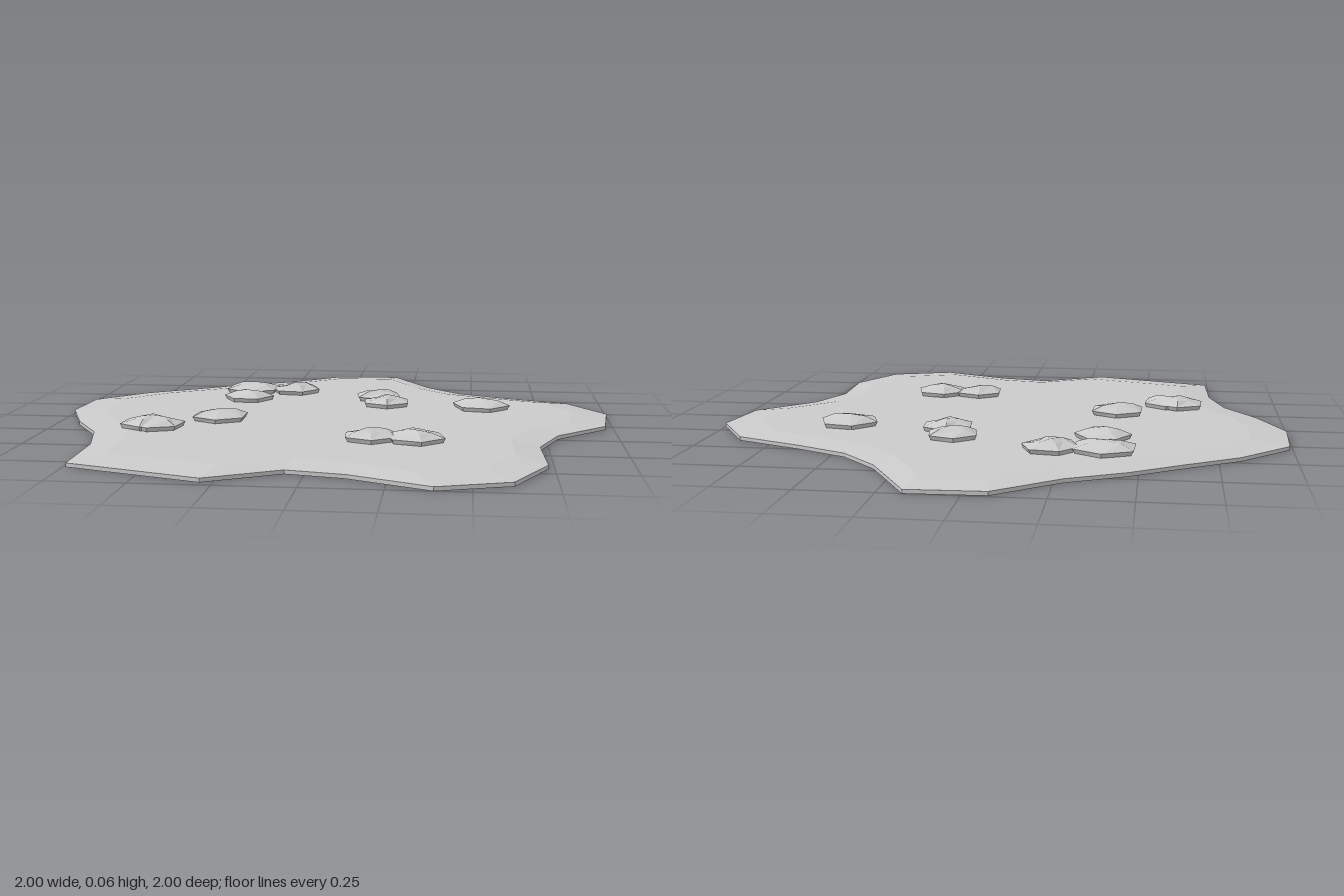
import * as THREE from 'three';

// Flat-shaded solid from stacked rings (bottom to top), closed by centre fans.
function loft(rings, bottomCentre, topCentre) {
  const pos = [];
  const tri = (a, b, c) => pos.push(...a, ...b, ...c);
  const n = rings[0].length;
  for (let i = 0; i < n; i++) {
    const j = (i + 1) % n;
    tri(bottomCentre, rings[0][i], rings[0][j]);
    for (let k = 0; k < rings.length - 1; k++) {
      const lo = rings[k], hi = rings[k + 1];
      tri(lo[i], hi[i], lo[j]);
      tri(lo[j], hi[i], hi[j]);
    }
    const top = rings[rings.length - 1];
    tri(topCentre, top[j], top[i]);
  }
  const geometry = new THREE.BufferGeometry();
  geometry.setAttribute('position', new THREE.Float32BufferAttribute(pos, 3));
  geometry.computeVertexNormals();
  return geometry;
}

// Ground outline as x, z pairs.
const OUTLINE = [
  [-0.08, -0.99], [0.17, -1], [0.32, -0.73], [0.45, -0.59], [0.63, -0.5], [0.87, -0.4],
  [1, -0.19], [0.97, 0.05], [0.79, 0.24], [0.72, 0.43], [0.73, 0.69], [0.62, 0.92],
  [0.39, 1], [0.13, 0.88], [-0.06, 0.84], [-0.29, 0.97], [-0.5, 0.9], [-0.74, 0.82],
  [-0.75, 0.54], [-0.8, 0.34], [-0.91, 0.16], [-1, -0.06], [-0.99, -0.3], [-0.82, -0.48],
  [-0.64, -0.6], [-0.47, -0.72], [-0.28, -0.82],
];

// Stones: x, z, radius, turn in degrees.
const STONES = [
  [-0.385, -0.495, 0.112, 33], [-0.21, -0.495, 0.1, 8], [-0.37, -0.305, 0.097, 0],
  [0.135, -0.36, 0.092, 20], [0.175, -0.23, 0.095, 25], [0.535, -0.2, 0.107, 12],
  [-0.4, 0.12, 0.103, 30], [-0.625, 0.275, 0.1, 33], [-0.59, 0.29, 0.1, 38],
  [0.165, 0.42, 0.095, 24], [0.315, 0.425, 0.103, 17],
];

function groundGeometry() {
  const ring = (scale, y) => OUTLINE.map(([x, z]) => [x * scale, y, z * scale]);
  return loft([ring(1, 0), ring(1, 0.013), ring(0.87, 0.025)], [0, 0, 0], [0, 0.025, 0]);
}

// Low six-sided stone: undercut base, wide rim, shallow uneven crown.
function stoneGeometry(radius, turn, seed) {
  const ring = (scale, y, uneven) => Array.from({ length: 6 }, (_, i) => {
    const a = THREE.MathUtils.degToRad(turn + i * 60);
    const wobble = Math.sin(seed * 2.3 + i * 2.1);
    const r = radius * scale * (1 + uneven * wobble);
    return [r * Math.cos(a), y + uneven * 0.015 * wobble, r * Math.sin(a)];
  });
  const lean = radius * 0.12;
  return loft(
    [ring(0.9, 0.02, 0), ring(1, 0.04, 0.02), ring(0.5, 0.055, 0.2)],
    [0, 0.02, 0],
    [lean * Math.sin(seed * 1.7), 0.064, lean * Math.cos(seed * 1.7)],
  );
}

export function createModel() {
  const group = new THREE.Group();
  group.name = 'stonyGroundPatch';
  const grey = new THREE.MeshStandardMaterial({ color: 0xcacaca });
  grey.name = 'stoneGrey';

  const ground = new THREE.Mesh(groundGeometry(), grey);
  ground.name = 'ground';
  group.add(ground);

  STONES.forEach(([x, z, radius, turn], i) => {
    const stone = new THREE.Mesh(stoneGeometry(radius, turn, i + 1), grey);
    stone.name = `stone${i + 1}`;
    stone.position.set(x, 0, z);
    group.add(stone);
  });
  return group;
}
